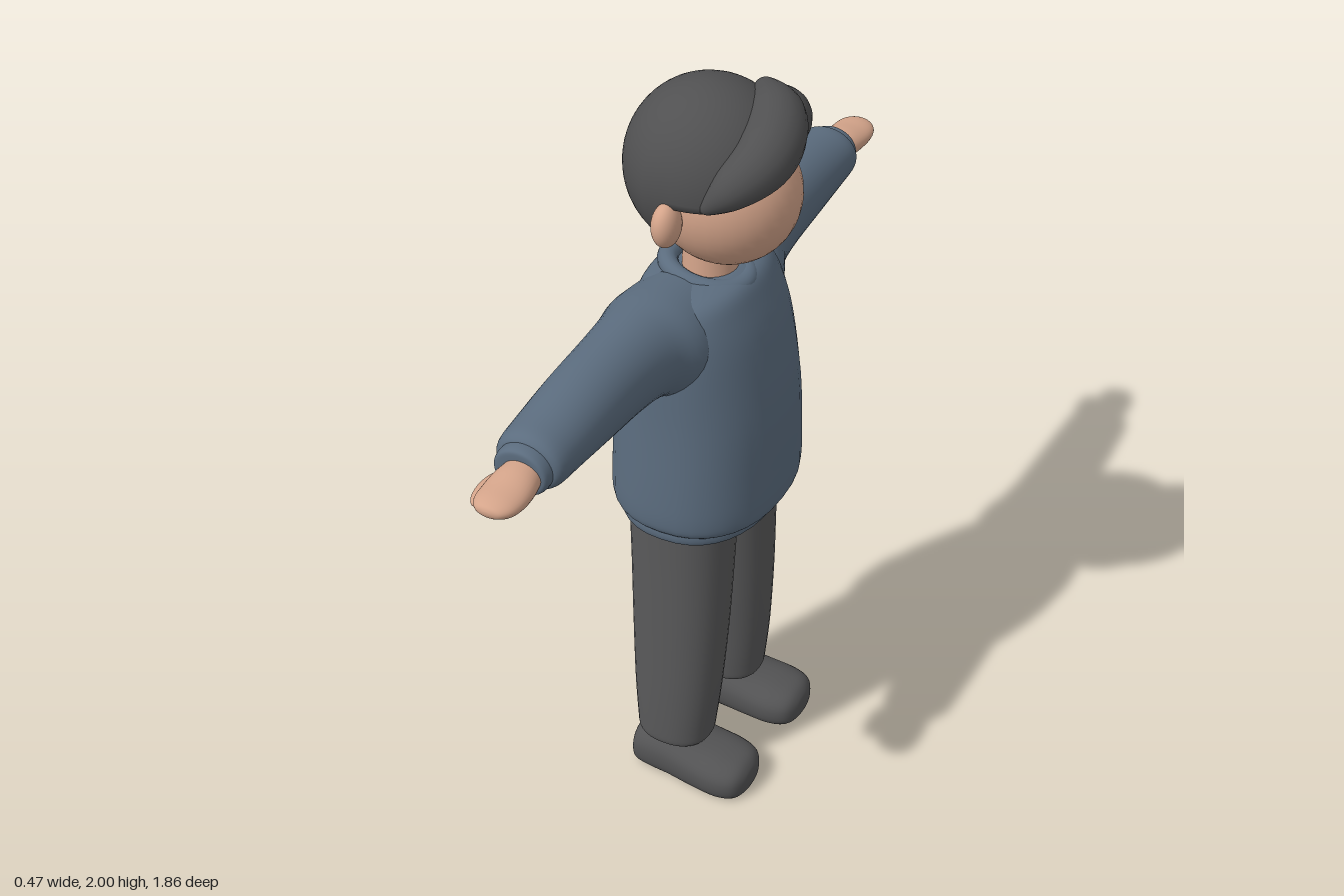
import * as THREE from 'three';
import { mergeVertices } from 'three/addons/utils/BufferGeometryUtils.js';

const mat = (name, color, side = THREE.FrontSide) => {
  const m = new THREE.MeshStandardMaterial({ color, side });
  m.name = name;
  return m;
};

// Smooth closed loft. Rows are [t, centreA, centreB, radiusA, radiusB] along an axis:
// y uses (x, z), z uses (x, y), x uses (z, y). s = -1 mirrors across z.
function loft(axis, rows, { s = 1, n = 2, sub = 5, seg = 36, floor = -1 } = {}) {
  const spline = rows[0].map((_, k) => new THREE.SplineCurve(rows.map((r, i) => new THREE.Vector2(i, r[k]))));
  const N = (rows.length - 1) * sub;
  const pos = [], idx = [];
  const put = (t, a, b) => {
    const p = axis === 'y' ? [a, t, b] : axis === 'z' ? [a, b, t] : [t, b, a];
    pos.push(p[0], Math.max(p[1], floor), p[2] * s);
  };
  const pw = v => Math.sign(v) * Math.abs(v) ** (2 / n);
  for (let i = 0; i <= N; i++) {
    const [t, ca, cb, ra, rb] = spline.map(c => c.getPoint(i / N).y);
    for (let j = 0; j < seg; j++) {
      const q = j / seg * Math.PI * 2;
      put(t, ca + ra * pw(Math.cos(q)), cb + rb * pw(Math.sin(q)));
    }
  }
  const flip = (axis !== 'z') !== (s < 0);
  const tri = (a, b, c) => flip ? idx.push(a, c, b) : idx.push(a, b, c);
  for (let i = 0; i < N; i++) for (let j = 0; j < seg; j++) {
    const k = (j + 1) % seg, a = i * seg, b = a + seg;
    tri(a + j, a + k, b + k);
    tri(a + j, b + k, b + j);
  }
  const first = rows[0], last = rows[rows.length - 1], c0 = pos.length / 3;
  put(first[0], first[1], first[2]);
  put(last[0], last[1], last[2]);
  for (let j = 0; j < seg; j++) {
    const k = (j + 1) % seg;
    tri(c0, k, j);
    tri(c0 + 1, N * seg + j, N * seg + k);
  }
  const g = new THREE.BufferGeometry();
  g.setAttribute('position', new THREE.Float32BufferAttribute(pos, 3));
  g.setIndex(idx);
  g.computeVertexNormals();
  return g;
}

// Tube of varying radius along a curve, for hair locks
function lock(points, radii) {
  const L = 32, R = 18;
  const curve = new THREE.CatmullRomCurve3(points.map(p => new THREE.Vector3(...p)));
  const size = new THREE.SplineCurve(radii.map((r, i) => new THREE.Vector2(i, r)));
  const g = new THREE.TubeGeometry(curve, L, 1, R);
  const p = g.attributes.position, v = new THREE.Vector3();
  for (let i = 0; i < p.count; i++) {
    const u = Math.floor(i / (R + 1)) / L, c = curve.getPointAt(u);
    // closes both tips with a rounded end
    const r = size.getPoint(u).y * Math.sqrt(Math.max(0, 1 - Math.abs(2 * u - 1) ** 8));
    v.fromBufferAttribute(p, i).sub(c).multiplyScalar(r).add(c);
    p.setXYZ(i, v.x, v.y, v.z);
  }
  g.deleteAttribute('uv');
  g.deleteAttribute('normal');
  const m = mergeVertices(g, 1e-5);
  m.computeVertexNormals();
  return m;
}

// Ellipsoid cap whose lower edge rises from the nape to the forehead
function hairCap() {
  const rings = 24, seg = 64, g = new THREE.SphereGeometry(1, seg, rings);
  const p = g.attributes.position, sm = THREE.MathUtils.smoothstep;
  for (let i = 0; i < p.count; i++) {
    const row = Math.floor(i / (seg + 1)), az = (i % (seg + 1)) / seg * Math.PI * 2, c = Math.cos(az);
    const edge = 1.615 + 0.155 * sm(c, -0.45, -0.05) + 0.11 * sm(c, 0.4, 1);
    const th = Math.acos((edge - 1.79) / 0.208) * Math.min(1, row / (rings - 1));
    const tuck = row === rings ? 0.86 : 1; // last ring turns inward
    const r = Math.sin(th) * tuck;
    p.setXYZ(i, -0.008 + 0.202 * r * c, 1.79 + 0.208 * Math.cos(th), -0.196 * r * Math.sin(az));
  }
  g.deleteAttribute('uv');
  g.deleteAttribute('normal');
  const m = mergeVertices(g, 1e-5);
  m.computeVertexNormals();
  return m;
}

const ball = (x, y, z, rx, ry, rz) => new THREE.SphereGeometry(1, 36, 24).scale(rx, ry, rz).translate(x, y, z);

export function createModel() {
  const model = new THREE.Group();
  model.name = 'figure';
  const skin = mat('skin', 0xd4a48a), sweater = mat('sweater blue', 0x5b6c7e);
  const trousers = mat('trouser grey', 0x59595a), shoes = mat('shoe grey', 0x535354);
  const hair = mat('hair grey', 0x505051, THREE.DoubleSide);
  const add = (name, geometry, material) => {
    const m = new THREE.Mesh(geometry, material);
    m.name = name;
    model.add(m);
    return m;
  };

  // Head and neck
  add('head', ball(0.034, 1.73, 0, 0.178, 0.175, 0.166), skin);
  add('neck', new THREE.CylinderGeometry(0.062, 0.07, 0.16, 32).translate(-0.008, 1.55, 0), skin);

  // Hair
  add('hairCap', hairCap(), hair);
  add('sweptFringe', lock(
    [[0.06, 1.96, -0.12], [0.14, 1.92, -0.03], [0.162, 1.88, 0.07], [0.12, 1.83, 0.145], [0.06, 1.77, 0.18]],
    [0.03, 0.068, 0.073, 0.055, 0.02]), hair);
  add('sideLock', lock(
    [[0.06, 1.95, -0.08], [0.125, 1.89, -0.13], [0.11, 1.81, -0.155], [0.06, 1.74, -0.168]],
    [0.03, 0.048, 0.04, 0.015]), hair);

  // Sweater body
  add('sweaterBody', loft('y', [
    [0.865, -0.017, 0, 0.185, 0.23], [0.88, -0.017, 0, 0.208, 0.253], [0.915, -0.017, 0, 0.217, 0.26],
    [1.0, -0.016, 0, 0.217, 0.257], [1.18, -0.015, 0, 0.21, 0.245], [1.36, -0.015, 0, 0.178, 0.238],
    [1.46, -0.018, 0, 0.145, 0.22], [1.505, -0.02, 0, 0.12, 0.18], [1.52, -0.02, 0, 0.08, 0.1]], { n: 2.3 }), sweater);
  add('sweaterHem', loft('y', [
    [0.836, -0.02, 0, 0.175, 0.225], [0.845, -0.02, 0, 0.188, 0.241], [0.865, -0.02, 0, 0.191, 0.245],
    [0.885, -0.02, 0, 0.188, 0.24], [0.9, -0.02, 0, 0.175, 0.225]], { n: 2.3 }), sweater);
  const collar = add('collar', new THREE.TorusGeometry(0.092, 0.024, 16, 48).rotateX(Math.PI / 2).scale(1.07, 1, 0.92), sweater);
  collar.position.set(-0.015, 1.508, 0);
  collar.rotation.z = -0.16;

  // Trouser seat between the legs
  add('trouserSeat', ball(-0.06, 0.76, 0, 0.07, 0.15, 0.035), trousers);

  for (const s of [1, -1]) {
    const side = s > 0 ? 'plusZ' : 'minusZ';
    add(side + 'Ear', ball(-0.017, 1.725, s * 0.193, 0.033, 0.055, 0.044), skin);

    // Sleeve and cuff
    add(side + 'Sleeve', loft('z', [
      [0.08, -0.045, 1.38, 0.135, 0.145], [0.19, -0.05, 1.392, 0.14, 0.141], [0.27, -0.057, 1.41, 0.114, 0.122],
      [0.37, -0.059, 1.417, 0.102, 0.11], [0.53, -0.058, 1.422, 0.096, 0.097], [0.67, -0.056, 1.423, 0.09, 0.08],
      [0.73, -0.055, 1.423, 0.086, 0.073], [0.752, -0.055, 1.422, 0.075, 0.062], [0.757, -0.055, 1.422, 0.055, 0.05]], { s }), sweater);
    add(side + 'Cuff', loft('z', [
      [0.735, -0.056, 1.419, 0.06, 0.055], [0.75, -0.056, 1.419, 0.068, 0.06], [0.77, -0.056, 1.418, 0.068, 0.06],
      [0.782, -0.056, 1.418, 0.062, 0.054], [0.784, -0.056, 1.418, 0.045, 0.04]], { s }), sweater);

    // Mitten hand
    add(side + 'Hand', loft('z', [
      [0.76, -0.05, 1.417, 0.042, 0.036], [0.81, -0.047, 1.417, 0.053, 0.037], [0.86, -0.045, 1.416, 0.056, 0.031],
      [0.9, -0.045, 1.417, 0.05, 0.025], [0.924, -0.045, 1.419, 0.032, 0.015], [0.931, -0.045, 1.42, 0.008, 0.004]], { s }), skin);
    add(side + 'Thumb', ball(-0.108, 1.385, s * 0.822, 0.026, 0.02, 0.063), skin);

    // Trouser leg
    add(side + 'TrouserLeg', loft('y', [
      [0.118, -0.033, 0.145, 0.085, 0.074], [0.13, -0.033, 0.145, 0.1, 0.086], [0.17, -0.032, 0.144, 0.105, 0.09],
      [0.3, -0.029, 0.139, 0.116, 0.095], [0.5, -0.026, 0.128, 0.126, 0.102], [0.7, -0.025, 0.117, 0.132, 0.109],
      [0.86, -0.025, 0.11, 0.137, 0.114]], { s, n: 2.3 }), trousers);

    // Shoe with a flat sole
    add(side + 'Shoe', loft('x', [
      [-0.137, 0.15, 0.055, 0.045, 0.035], [-0.125, 0.15, 0.055, 0.075, 0.062], [-0.085, 0.15, 0.057, 0.085, 0.072],
      [-0.02, 0.151, 0.056, 0.088, 0.073], [0.06, 0.154, 0.048, 0.093, 0.067], [0.13, 0.156, 0.043, 0.093, 0.063],
      [0.175, 0.157, 0.042, 0.078, 0.053], [0.196, 0.157, 0.042, 0.045, 0.032], [0.201, 0.157, 0.042, 0.01, 0.01]],
      { s, n: 2.4, floor: 0 }), shoes);
  }
  return model;
}
